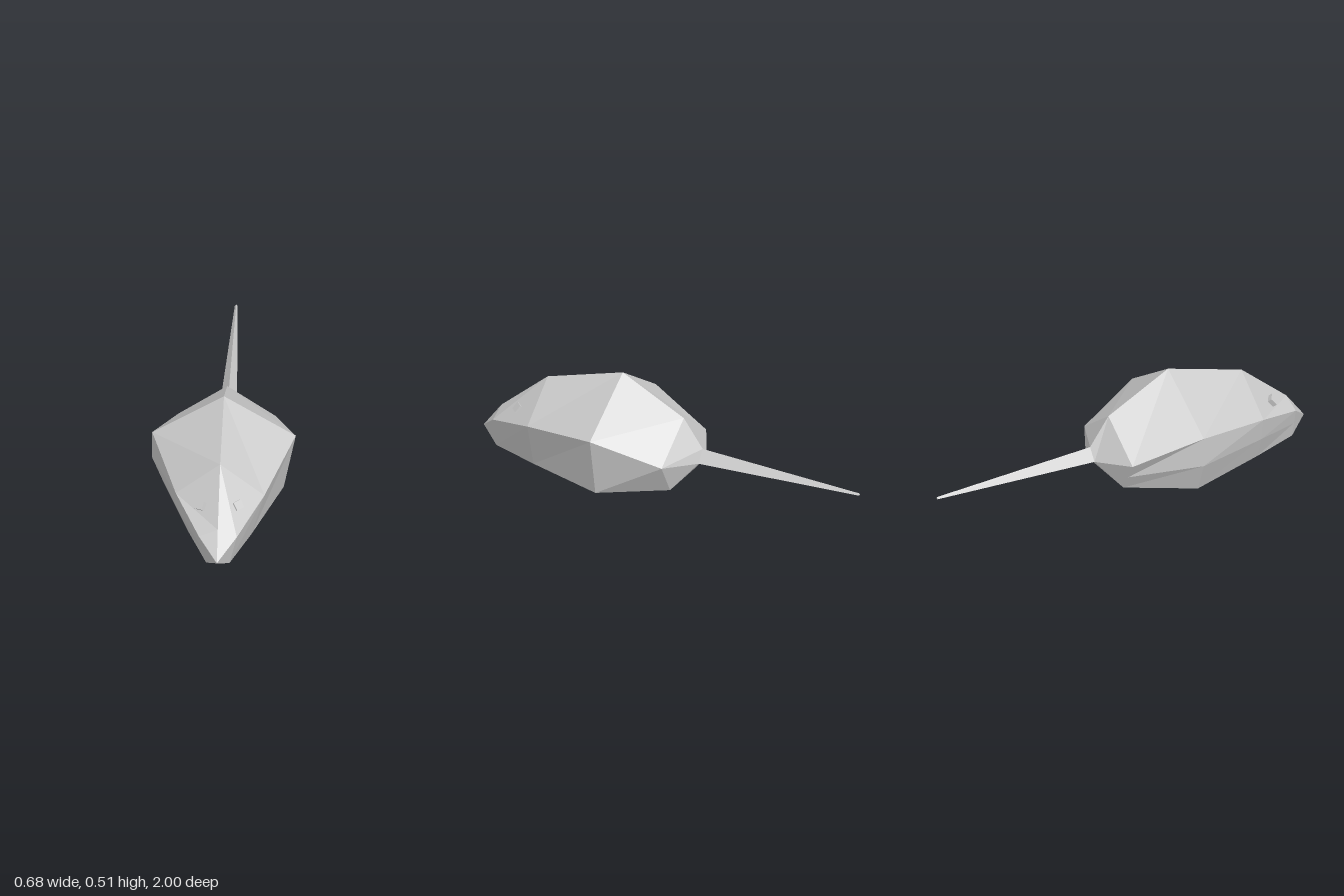
import * as THREE from 'three';

const material = new THREE.MeshStandardMaterial({ color: 0xcccccc, flatShading: true });

// Skins rings of [x, y, z] points, listed clockwise as seen from the front, front ring first.
function loft(rings) {
  const positions = [];
  const triangle = (a, b, c) => {
    const [p, q, r] = [a, b, c].map((v) => new THREE.Vector3(...v));
    if (q.sub(p).cross(r.sub(p)).length() > 1e-7) positions.push(...a, ...b, ...c);
  };
  for (let s = 0; s < rings.length - 1; s++) {
    const front = rings[s], back = rings[s + 1], n = front.length;
    for (let i = 0; i < n; i++) {
      const j = (i + 1) % n;
      triangle(front[i], front[j], back[i]);
      triangle(front[j], back[j], back[i]);
    }
  }
  const geometry = new THREE.BufferGeometry();
  geometry.setAttribute('position', new THREE.Float32BufferAttribute(positions, 3));
  geometry.computeVertexNormals();
  return geometry;
}

function addMesh(group, name, geometry) {
  const mesh = new THREE.Mesh(geometry, material);
  mesh.name = name;
  group.add(mesh);
  return mesh;
}

export function createModel() {
  const group = new THREE.Group();
  group.name = 'mouse';

  // Body: z, ridge height, side width and height, belly width and height, right flank point
  const sections = [
    [1.0, 0.063, 0, 0.063, 0, 0.063, 0, 0.063],
    [0.905, 0.19, 0.09, 0.15, 0.055, 0, 0.072, 0.075],
    [0.66, 0.397, 0.21, 0.225, 0.148, 0, 0.19, 0.112],
    [0.26, 0.512, 0.34, 0.295, 0.283, 0, 0.34, 0.148],
    [-0.065, 0.345, 0.23, 0.18, 0.142, 0.027, 0.186, 0.103],
    [-0.165, 0.205, 0.042, 0.145, 0.042, 0.145, 0.042, 0.145],
  ];
  const bodyRings = sections.map(([z, top, sx, sy, bx, by, mx, my]) => [
    [0, top, z], [sx, sy, z], [bx, by, z], [-bx, by, z], [-mx, my, z], [-sx, sy, z],
  ]);
  addMesh(group, 'body', loft(bodyRings));

  // Tail: a long three-sided taper closed at the tip
  const tailRing = (z, top, w, y) => [[0, top, z], [w, y, z], [-w, y, z]];
  addMesh(group, 'tail', loft([
    tailRing(-0.165, 0.205, 0.042, 0.145),
    tailRing(-1, 0.165, 0.007, 0.156),
    tailRing(-1, 0.159, 0, 0.159),
  ]));

  // Eyes: small blocks lying on the sloping face
  for (const [name, side, roll, z] of [['leftEye', 1, 0, 0.772], ['rightEye', -1, 0.25, 0.78]]) {
    const eye = addMesh(group, name, new THREE.BoxGeometry(0.045, 0.04, 0.024));
    eye.position.set(side * 0.088, 0.241, z);
    eye.lookAt(side * (0.088 + 0.53), 0.241 + 0.645, z + 0.54);
    eye.rotateZ(roll);
  }
  return group;
}
